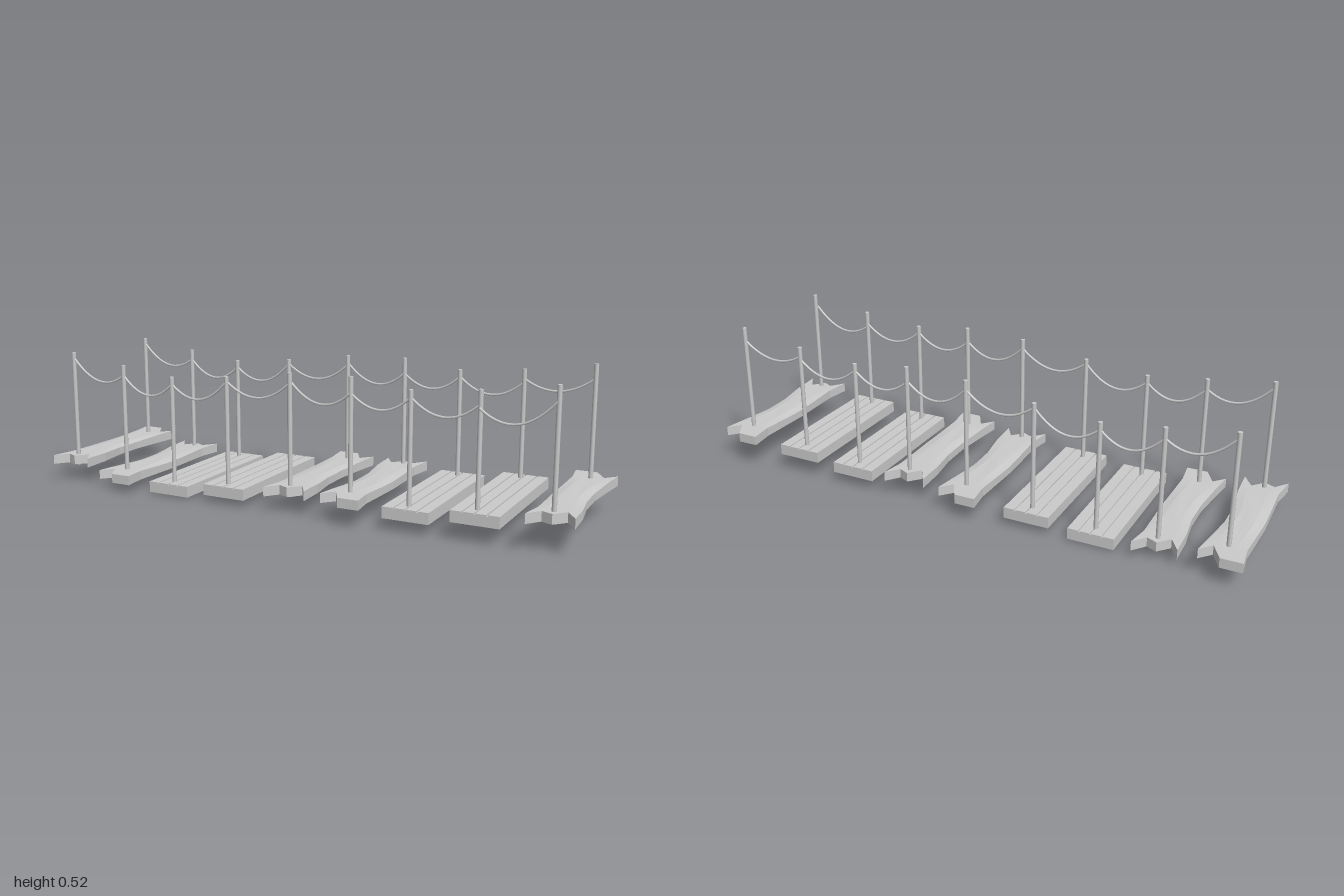
import * as THREE from 'three';

const mat = new THREE.MeshStandardMaterial({ color: 0xcccccc });
const flatMat = new THREE.MeshStandardMaterial({ color: 0xcccccc, flatShading: true });

const POST_H = 0.432, POST_Z = 0.221;
// plank centre x, post top y, kind of plank, rope height at the post
const STATIONS = [
  { x: -0.925, post: -0.93, top: 0.49, kind: 'worn', rope: 0.47 },
  { x: -0.705, post: -0.7, top: 0.458, kind: 'wornTurned', rope: 0.42 },
  { x: -0.483, post: -0.485, top: 0.432, kind: 'grooved', rope: 0.405 },
  { x: -0.248, post: -0.253, top: 0.452, kind: 'grooved', rope: 0.435 },
  { x: 0.003, post: 0, top: 0.485, kind: 'worn', rope: 0.45 },
  { x: 0.224, post: 0.23, top: 0.492, kind: 'wornTurned', rope: 0.435 },
  { x: 0.447, post: 0.443, top: 0.466, kind: 'grooved', rope: 0.44 },
  { x: 0.683, post: 0.677, top: 0.487, kind: 'grooved', rope: 0.44 },
  { x: 0.925, post: 0.922, top: 0.522, kind: 'worn', rope: 0.472 },
];
const SAG = [0.39, 0.355, 0.36, 0.387, 0.387, 0.388, 0.386, 0.39];

// Piecewise-linear profile lookup
function profile(points, t) {
  for (let i = 1; i < points.length; i++) {
    const [a, va] = points[i - 1], [b, vb] = points[i];
    if (t <= b) return va + (vb - va) * (t - a) / (b - a);
  }
  return points[points.length - 1][1];
}

// Splintered plank: a box whose ends and sides follow ragged profiles
function wornPlankGeometry() {
  const back = [[-0.5, -0.305], [0, -0.305], [0.25, -0.24], [0.5, -0.283]];
  const front = [[-0.5, 0.283], [-0.25, 0.235], [0, 0.252], [0.25, 0.21], [0.5, 0.268]];
  const right = [[0, 0.076], [0.17, 0.064], [0.4, 0.052], [0.6, 0.054], [0.8, 0.07], [1, 0.075]];
  const left = [[0, -0.075], [0.15, -0.064], [0.5, -0.07], [0.85, -0.062], [1, -0.075]];
  const h = 0.034;
  const g = new THREE.BoxGeometry(1, h, 1, 8, 1, 20);
  const p = g.attributes.position;
  for (let i = 0; i < p.count; i++) {
    const u = p.getX(i), t = p.getZ(i) + 0.5;
    const zb = profile(back, u), zf = profile(front, u);
    const l = profile(left, t), r = profile(right, t);
    let y = p.getY(i) + h / 2;
    // Worn edges and a slight ripple on the walking surface
    if (y > h / 2) y -= Math.sin(Math.PI * t) ** 2 * (0.006 * Math.max(0, Math.abs(u) * 4 - 1) + 0.001 * Math.sin(u * 19 + t * 5) ** 2);
    p.setXYZ(i, l + (r - l) * (u + 0.5), y, zb + (zf - zb) * t);
  }
  g.computeVertexNormals();
  return g;
}

// Straight plank with three narrow grooves along its top
function groovedPlankGeometry() {
  const w = 0.165, h = 0.04, len = 0.53, half = 0.0025, depth = 0.005;
  const s = new THREE.Shape();
  s.moveTo(-w / 2, 0);
  s.lineTo(w / 2, 0);
  s.lineTo(w / 2, h);
  for (const x of [w / 4, 0, -w / 4]) {
    s.lineTo(x + half, h);
    s.lineTo(x + half, h - depth);
    s.lineTo(x - half, h - depth);
    s.lineTo(x - half, h);
  }
  s.lineTo(-w / 2, h);
  s.closePath();
  return new THREE.ExtrudeGeometry(s, { depth: len, bevelEnabled: false }).translate(0, 0, -len / 2);
}

// Rope hanging between two points with its lowest part near sagY
function ropeGeometry(a, b, sagY) {
  const mid = a.clone().add(b).multiplyScalar(0.5);
  mid.y = 2 * sagY - mid.y;
  return new THREE.TubeGeometry(new THREE.QuadraticBezierCurve3(a, mid, b), 14, 0.0042, 6);
}

export function createModel() {
  const model = new THREE.Group();
  model.name = 'ropeBridge';
  const add = (geo, name, material = mat) => {
    const m = new THREE.Mesh(geo, material);
    m.name = name;
    model.add(m);
    return m;
  };
  const worn = wornPlankGeometry(), grooved = groovedPlankGeometry();
  const post = new THREE.CylinderGeometry(0.008, 0.008, POST_H, 10);

  // Planks, each with a pair of posts pushed through it
  for (const s of STATIONS) {
    const base = s.top - POST_H;
    const isGrooved = s.kind === 'grooved';
    const plank = add(isGrooved ? grooved : worn, isGrooved ? 'groovedPlank' : 'wornPlank', flatMat);
    plank.position.set(s.x, base + 0.006, 0);
    if (s.kind === 'wornTurned') plank.rotation.y = Math.PI;
    for (const side of [1, -1]) {
      add(post, side > 0 ? 'frontPost' : 'backPost').position.set(s.post, base + POST_H / 2, side * POST_Z);
    }
  }

  // Hand ropes from post to post on both sides
  for (const side of [1, -1]) {
    for (let i = 0; i < SAG.length; i++) {
      const s = STATIONS[i], e = STATIONS[i + 1];
      const a = new THREE.Vector3(s.post, s.rope, side * POST_Z);
      const b = new THREE.Vector3(e.post, e.rope, side * POST_Z);
      let sag = SAG[i];
      if (i === 4) { a.z -= 0.011; b.z += 0.005; } // skewed span
      if (i === 7 && side > 0) { a.z = b.z = 0.234; a.y = 0.43; }
      if (i === 7 && side < 0) { a.y = 0.452; sag = 0.418; }
      add(ropeGeometry(a, b, sag), side > 0 ? 'frontRope' : 'backRope');
    }
  }
  return model;
}
